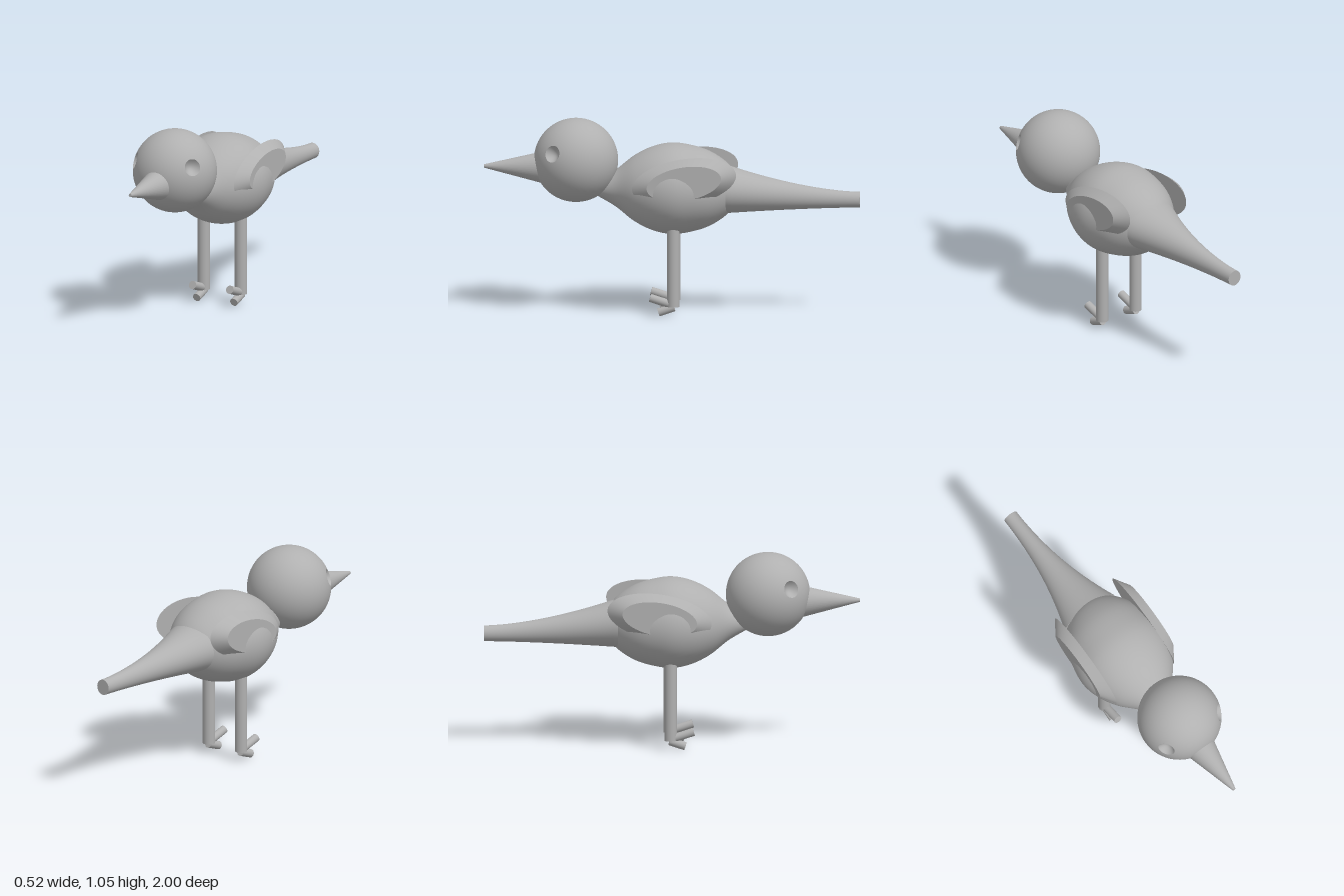
import * as THREE from 'three';
import { mergeVertices } from 'three/addons/utils/BufferGeometryUtils.js';
import { ParametricGeometry } from 'three/addons/geometries/ParametricGeometry.js';

const V3 = (x, y, z) => new THREE.Vector3(x, y, z);

export function createModel() {
  const bird = new THREE.Group();
  bird.name = 'bird';
  const grey = new THREE.MeshStandardMaterial({ color: 0xb0b0b0 });
  grey.name = 'plain grey';

  function add(name, geometry, x = 0, y = 0, z = 0) {
    const mesh = new THREE.Mesh(geometry, grey);
    mesh.name = name;
    mesh.position.set(x, y, z);
    bird.add(mesh);
    return mesh;
  }

  // Cylinder running from point a (radius ra) to point b (radius rb)
  function rod(name, a, b, ra, rb = ra) {
    const mesh = add(name, new THREE.CylinderGeometry(rb, ra, a.distanceTo(b), 40));
    mesh.position.copy(a).lerp(b, 0.5);
    mesh.quaternion.setFromUnitVectors(V3(0, 1, 0), b.clone().sub(a).normalize());
  }

  // Body: turned profile along z, rounded behind and tapering to the neck
  const profile = new THREE.SplineCurve([
    [0, -0.37], [0.3, -0.345], [0.58, -0.29], [0.82, -0.2], [0.95, -0.1], [1, 0],
    [0.92, 0.1], [0.72, 0.2], [0.4, 0.3], [0.16, 0.4], [0, 0.45],
  ].map(([r, z]) => new THREE.Vector2(r, z))).getPoints(60);
  profile.forEach((p) => { p.x = Math.max(p.x, 0); });
  const body = new THREE.LatheGeometry(profile, 64).rotateX(Math.PI / 2).scale(0.262, 0.243, 1);
  add('body', body, 0, 0.675, 0);

  // Tail: flared oval base narrowing to a thin round end
  let tail = new THREE.CylinderGeometry(1, 1, 1, 56, 24).rotateX(Math.PI / 2);
  tail.deleteAttribute('uv');
  tail = mergeVertices(tail);
  const pos = tail.attributes.position;
  for (let i = 0; i < pos.count; i++) {
    const s = THREE.MathUtils.clamp(pos.getZ(i) + 0.5, 0, 1);
    const rx = 0.04 + 0.125 * s ** 2.1;
    const ry = 0.042 + 0.086 * s ** 1.6;
    pos.setXYZ(i, pos.getX(i) * rx, 0.618 + 0.055 * s ** 1.7 + pos.getY(i) * ry, -1 + 0.71 * s);
  }
  tail.computeVertexNormals();
  add('tail', tail);

  // Beak: slim cone with a tiny blunt tip
  rod('beak', V3(0, 0.783, 0.6), V3(0, 0.79, 1), 0.106, 0.009);

  const headRadius = 0.224, eyeRadius = 0.045, eyeDepth = 0.03;
  const eyeDistance = Math.sqrt(headRadius ** 2 - eyeRadius ** 2);

  for (const side of [1, -1]) {
    const label = side > 0 ? 'left' : 'right';

    // Half of the head, spread from the eye rim out to the middle circle
    const n = V3(side * 0.176, 0.06, 0.122).normalize();
    const u = V3(0, 1, 0).addScaledVector(n, -n.y).normalize();
    const v = n.clone().cross(u);
    const around = (a, r, target) => target.set(0, 0, 0)
      .addScaledVector(u, r * Math.cos(a)).addScaledVector(v, r * Math.sin(a));
    const halfHead = new ParametricGeometry((s, t, p) => {
      const a = t * Math.PI * 2;
      around(a, eyeRadius, p).addScaledVector(n, eyeDistance);
      p.lerp(V3(0, Math.cos(a), side * Math.sin(a)).multiplyScalar(headRadius), s);
      p.setLength(headRadius);
    }, 32, 72);
    // Exact sphere normals so the two halves join smoothly
    const hp = halfHead.attributes.position;
    for (let i = 0; i < hp.count; i++) {
      const d = V3().fromBufferAttribute(hp, i).normalize();
      halfHead.attributes.normal.setXYZ(i, d.x, d.y, d.z);
    }
    add(label + 'HeadHalf', halfHead, 0, 0.825, 0.51);

    // Hollow eye socket
    const socket = new ParametricGeometry((s, t, p) => {
      const r = Math.max(s, 0.002);
      around(t * Math.PI * 2, eyeRadius * r, p)
        .addScaledVector(n, eyeDistance - eyeDepth * (1 - r * r));
    }, 12, 72);
    add(label + 'EyeSocket', socket, 0, 0.825, 0.51);

    // Wing: tilted oval plate with a bevelled rim, smaller on the outside
    const wing = new THREE.CylinderGeometry(0.715, 1, 0.053, 72);
    wing.rotateZ(-side * Math.PI / 2).scale(1, 0.125, 0.28).rotateX(0.17);
    add(label + 'Wing', wing, side * 0.2165, 0.737, -0.07);

    // Leg and its two toes
    const x = side * 0.113;
    rod(label + 'Leg', V3(x, 0.055, -0.01), V3(x, 0.56, -0.01), 0.033);
    rod(label + 'UpperToe', V3(x, 0.064, -0.005), V3(x, 0.102, 0.113), 0.022);
    rod(label + 'LowerToe', V3(x, 0.052, -0.015), V3(x, 0.024, 0.068), 0.022);
  }
  return bird;
}
